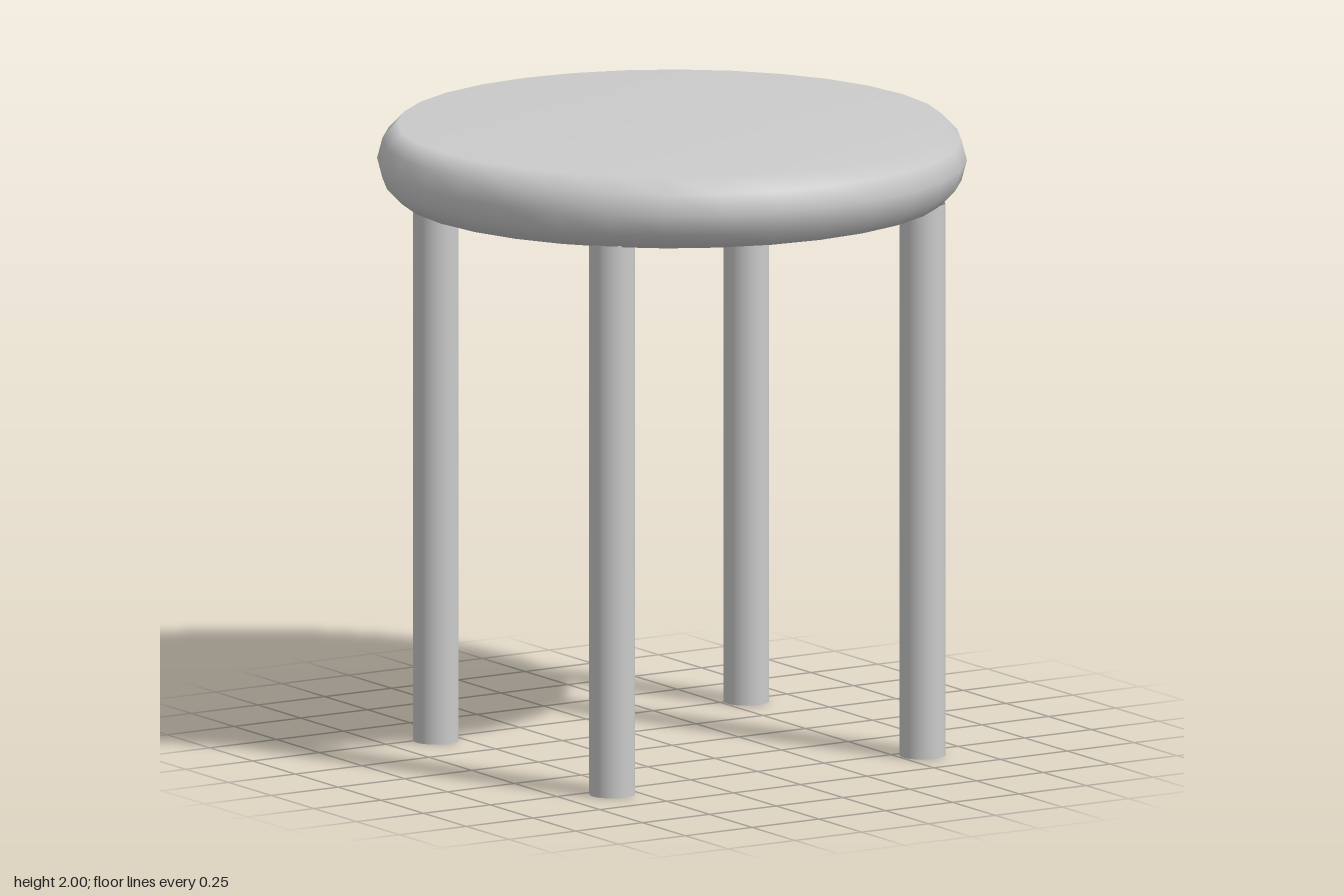
import * as THREE from 'three';

export function createModel() {
  const model = new THREE.Group();
  model.name = 'stool';
  const material = new THREE.MeshStandardMaterial({ color: 0xcccccc, side: THREE.DoubleSide });

  // Round seat: a softly rounded disc turned from its half profile, bottom to top
  const profile = [
    [0, 1.77], [0.865, 1.77], [0.913, 1.82], [0.93, 1.885], [0.913, 1.95], [0.865, 2], [0, 2],
  ].map(([r, y]) => new THREE.Vector2(r, y));
  const seat = new THREE.Mesh(new THREE.LatheGeometry(profile, 32), material);
  seat.name = 'seat';
  model.add(seat);

  // Four straight tubular legs, open at the ends
  const legHeight = 1.775;
  const legGeometry = new THREE.CylinderGeometry(0.072, 0.072, legHeight, 32, 1, true);
  const sides = [['right', -0.583], ['left', 0.579]];
  const ends = [['front', 0.56], ['back', -0.47]];
  for (const [end, z] of ends) {
    for (const [side, x] of sides) {
      const leg = new THREE.Mesh(legGeometry, material);
      leg.name = `${end} ${side} leg`;
      leg.position.set(x, legHeight / 2, z);
      model.add(leg);
    }
  }

  return model;
}
